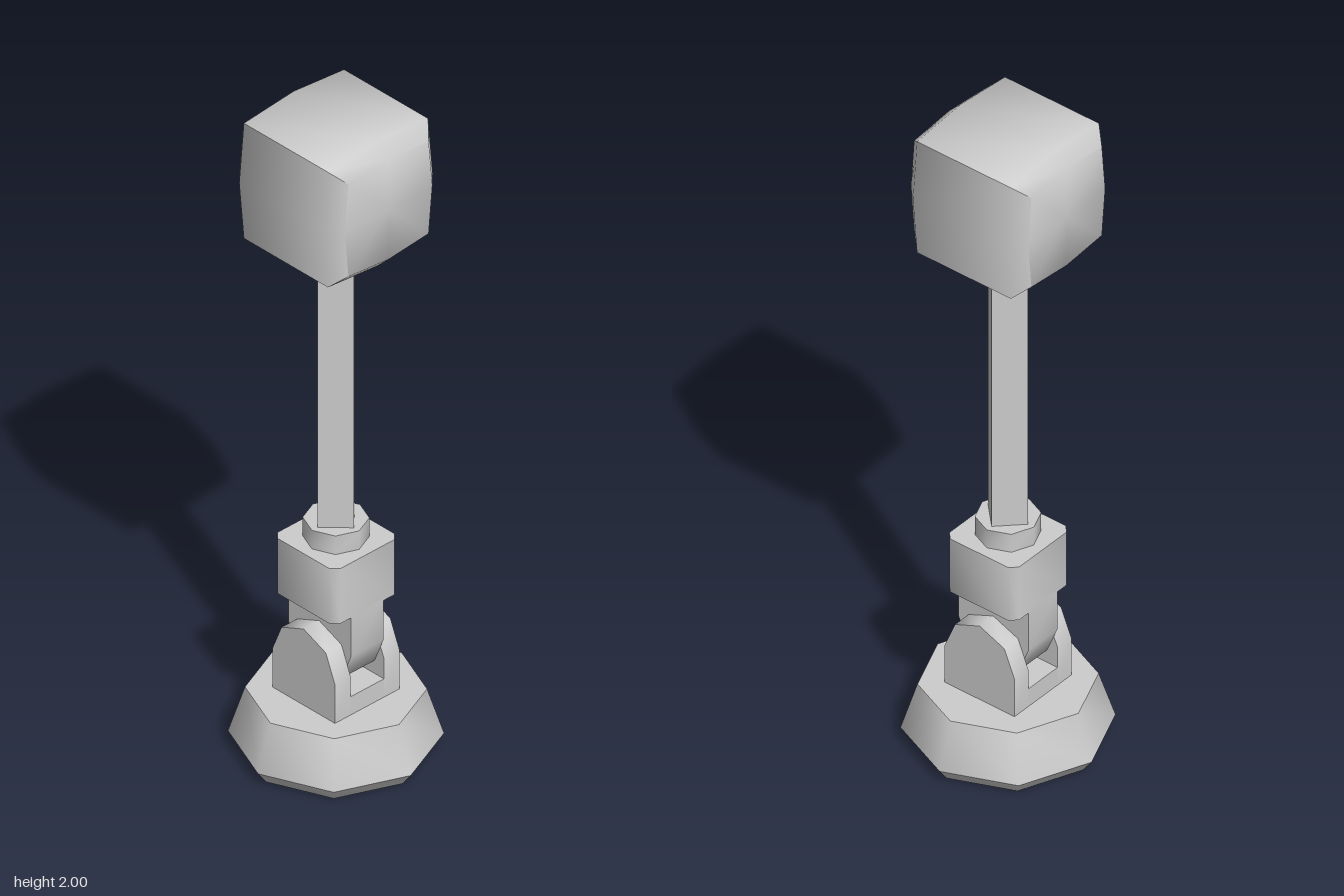
import * as THREE from 'three';
import { toCreasedNormals } from 'three/addons/utils/BufferGeometryUtils.js';

const CREASE = 0.87;

export function createModel() {
  const model = new THREE.Group();
  const grey = new THREE.MeshStandardMaterial({ color: 0xcccccc });
  grey.name = 'grey';

  const add = (name, geometry, x = 0, y = 0, z = 0) => {
    const mesh = new THREE.Mesh(toCreasedNormals(geometry, CREASE), grey);
    mesh.name = name;
    mesh.position.set(x, y, z);
    model.add(mesh);
  };
  const shapeOf = (pts) => new THREE.Shape(pts.map(([a, b]) => new THREE.Vector2(a, b)));

  // Plate with one half-octagon end, centred on x and lying in the z-y plane
  const lug = (pivotY, flatY, radius, width) => {
    const dir = Math.sign(pivotY - flatY);
    const pts = [[-radius, flatY], [radius, flatY]];
    for (let i = 0; i <= 4; i++) {
      const a = (i * Math.PI) / 4;
      pts.push([radius * Math.cos(a), pivotY + dir * radius * Math.sin(a)]);
    }
    return new THREE.ExtrudeGeometry(shapeOf(pts), { depth: width, bevelEnabled: false })
      .translate(0, 0, -width / 2)
      .rotateY(Math.PI / 2);
  };

  // Eight-sided foot with a bevelled lower rim
  const foot = [[0, 0], [0.255, 0], [0.285, 0.04], [0.24, 0.18], [0, 0.18]];
  add('foot', new THREE.LatheGeometry(foot.map(([r, y]) => new THREE.Vector2(r, y)), 8));

  // Yoke: floor and two ears
  add('yokeFloor', new THREE.BoxGeometry(0.124, 0.06, 0.238), 0, 0.208, 0);
  for (const side of [-1, 1]) add('yokeEar', lug(0.303, 0.178, 0.119, 0.057), side * 0.0895);

  // Hinge tongue hanging from the socket block
  add('hingeTongue', lug(0.364, 0.495, 0.119, 0.12));

  // Socket block with cut vertical corners
  const h = 0.119, c = 0.099;
  const block = shapeOf([[h, -c], [h, c], [c, h], [-c, h], [-h, c], [-h, -c], [-c, -h], [c, -h]]);
  add('socketBlock', new THREE.ExtrudeGeometry(block, { depth: 0.175, bevelEnabled: false })
    .rotateX(-Math.PI / 2), 0, 0.488, 0);

  // Collar and square rod
  add('collar', new THREE.CylinderGeometry(0.088, 0.088, 0.06, 8), 0, 0.692, 0);
  add('rod', new THREE.CylinderGeometry(0.068, 0.068, 0.93, 4), 0, 1.185, 0);

  // Head: bulged square drum along z, its end rims bevelled
  const drum = [[0, -0.2], [0.16, -0.2], [0.2, -0.16], [0.2, 0.16], [0.16, 0.2], [0, 0.2]];
  const head = new THREE.LatheGeometry(drum.map(([r, y]) => new THREE.Vector2(r, y)), 8)
    .rotateX(Math.PI / 2);
  const p = head.attributes.position;
  for (let i = 0; i < p.count; i++) {
    // push the diagonal corners outwards to make the octagon nearly square
    const x = p.getX(i), y = p.getY(i);
    const k = Math.abs(x * y) > 1e-4 ? 0.183 / (0.2 * Math.SQRT1_2) : 1;
    p.setXY(i, x * k, y * k);
  }
  add('head', head, 0, 1.8, 0);

  return model;
}
